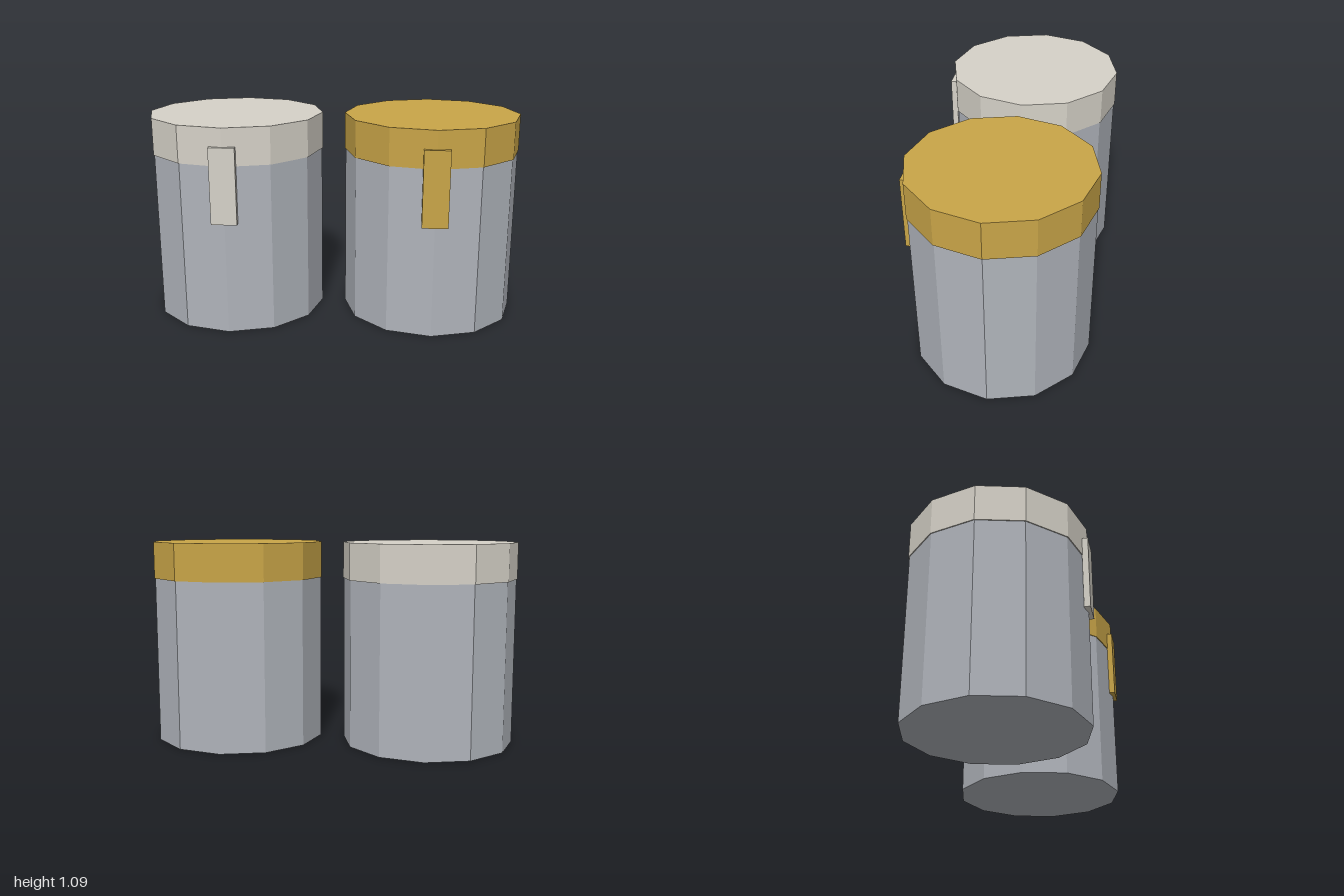
import * as THREE from 'three';

const SIDES = 12;
const CENTRE_Z = -0.006;

const material = (color) => new THREE.MeshStandardMaterial({ color, flatShading: true });

function part(name, geometry, mat, y, z) {
  const mesh = new THREE.Mesh(geometry, mat);
  mesh.name = name;
  mesh.position.set(0, y, z);
  return mesh;
}

// One faceted canister: body, overhanging lid and front latch
function createCanister(name, x, bodyMaterial, lidMaterial) {
  const canister = new THREE.Group();
  canister.name = name;
  canister.position.x = x;
  canister.add(
    part('body', new THREE.CylinderGeometry(0.465, 0.465, 0.99, SIDES), bodyMaterial, 0.495, CENTRE_Z),
    part('lid', new THREE.CylinderGeometry(0.47, 0.47, 0.196, SIDES), lidMaterial, 0.994, CENTRE_Z),
    part('latch', new THREE.BoxGeometry(0.133, 0.398, 0.032), lidMaterial, 0.796, 0.46),
  );
  return canister;
}

export function createModel() {
  const model = new THREE.Group();
  model.name = 'canisterPair';
  const steel = material(0xb0b4bb);
  model.add(
    createCanister('rightCanister', -0.53, steel, material(0xd6d2c8)),
    createCanister('leftCanister', 0.53, steel, material(0xc9a548)),
  );
  return model;
}
